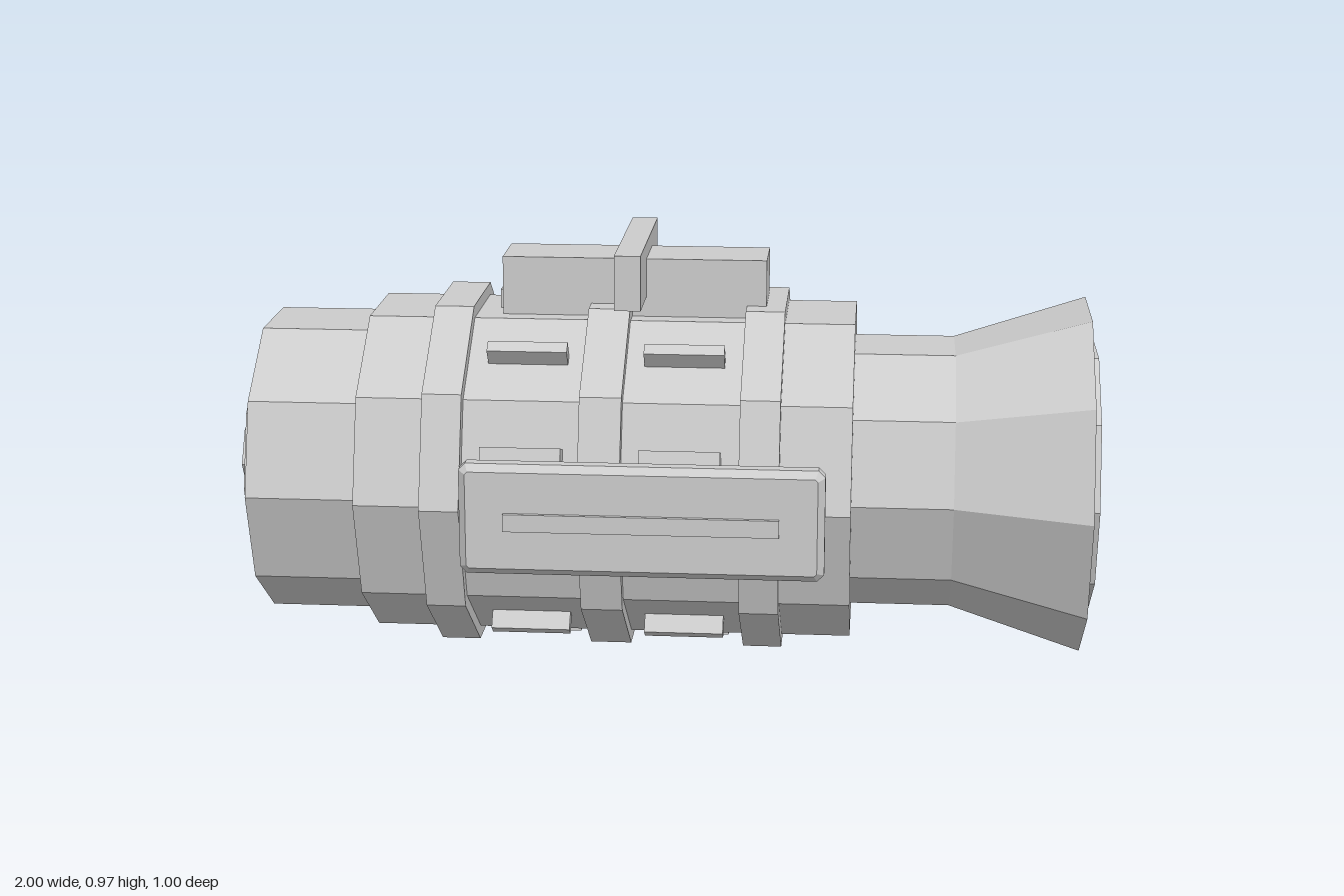
import * as THREE from 'three';

export function createModel() {
  const model = new THREE.Group();
  const material = new THREE.MeshStandardMaterial({ color: 0xcccccc, flatShading: true });
  const axisY = 0.425;

  const add = (name, geometry, parent = model) => {
    const mesh = new THREE.Mesh(geometry, material);
    mesh.name = name;
    parent.add(mesh);
    return mesh;
  };
  // Faceted section along x, with a corner pointing to +z
  const section = (name, x0, x1, r0, r1 = r0, sides = 10) => {
    const geometry = new THREE.CylinderGeometry(r1, r0, x1 - x0, sides);
    geometry.rotateZ(-Math.PI / 2).translate((x0 + x1) / 2, axisY, 0);
    return add(name, geometry);
  };
  // Box given by its extents
  const box = (name, x0, x1, y0, y1, z0, z1, parent) => add(name,
    new THREE.BoxGeometry(x1 - x0, y1 - y0, z1 - z0)
      .translate((x0 + x1) / 2, (y0 + y1) / 2, (z0 + z1) / 2), parent);

  // Main tube, from the rear knob to the flared nozzle
  section('rearKnob', -1, -0.95, 0.087, 0.087, 6);
  section('rearPlate', -0.95, -0.93, 0.28);
  section('rearSection', -0.93, -0.675, 0.356);
  section('body', -0.675, 0.445, 0.395);
  section('neck', 0.445, 0.675, 0.317);
  section('nozzle', 0.675, 0.98, 0.317, 0.415);
  section('nozzlePlate', 0.98, 1, 0.317);
  for (const [x0, x1] of [[-0.52, -0.43], [-0.165, -0.07], [0.195, 0.285]]) {
    section('bodyRing', x0, x1, 0.425);
  }

  // Two rows of raised ribs, one on each facet
  for (const x of [-0.293, 0.063]) {
    for (let i = 0; i < 10; i++) {
      const rib = add('rib', new THREE.BoxGeometry(0.182, 0.05, 0.03).translate(0, 0.395, 0));
      rib.position.set(x, axisY, 0);
      rib.rotation.x = i * Math.PI / 5;
    }
  }

  // Bevelled side panels with a raised strip
  const bevel = 0.016, w = 0.405 - bevel, h = 0.127 - bevel, c = 0.006;
  const outline = new THREE.Shape([
    [-w + c, -h], [w - c, -h], [w, -h + c], [w, h - c],
    [w - c, h], [-w + c, h], [-w, h - c], [-w, -h + c],
  ].map(([x, y]) => new THREE.Vector2(x, y)));
  for (const side of [1, -1]) {
    const panel = new THREE.Group();
    panel.name = side > 0 ? 'frontPanel' : 'backPanel';
    const plate = add('panelPlate', new THREE.ExtrudeGeometry(outline, {
      depth: 0.028, bevelThickness: bevel, bevelSize: bevel, bevelSegments: 1,
    }), panel);
    plate.position.set(-0.015, 0.427, side * 0.46 - 0.014);
    const [z0, z1] = side > 0 ? [0.48, 0.5] : [-0.5, -0.48];
    box('panelStrip', -0.32, 0.29, 0.405, 0.445, z0, z1, panel);
    model.add(panel);
  }

  // Top block and crossbar
  box('topBlock', -0.37, 0.24, 0.78, 0.936, -0.076, 0.076);
  box('crossbar', -0.097, -0.037, 0.847, 0.973, -0.229, 0.229);

  return model;
}
